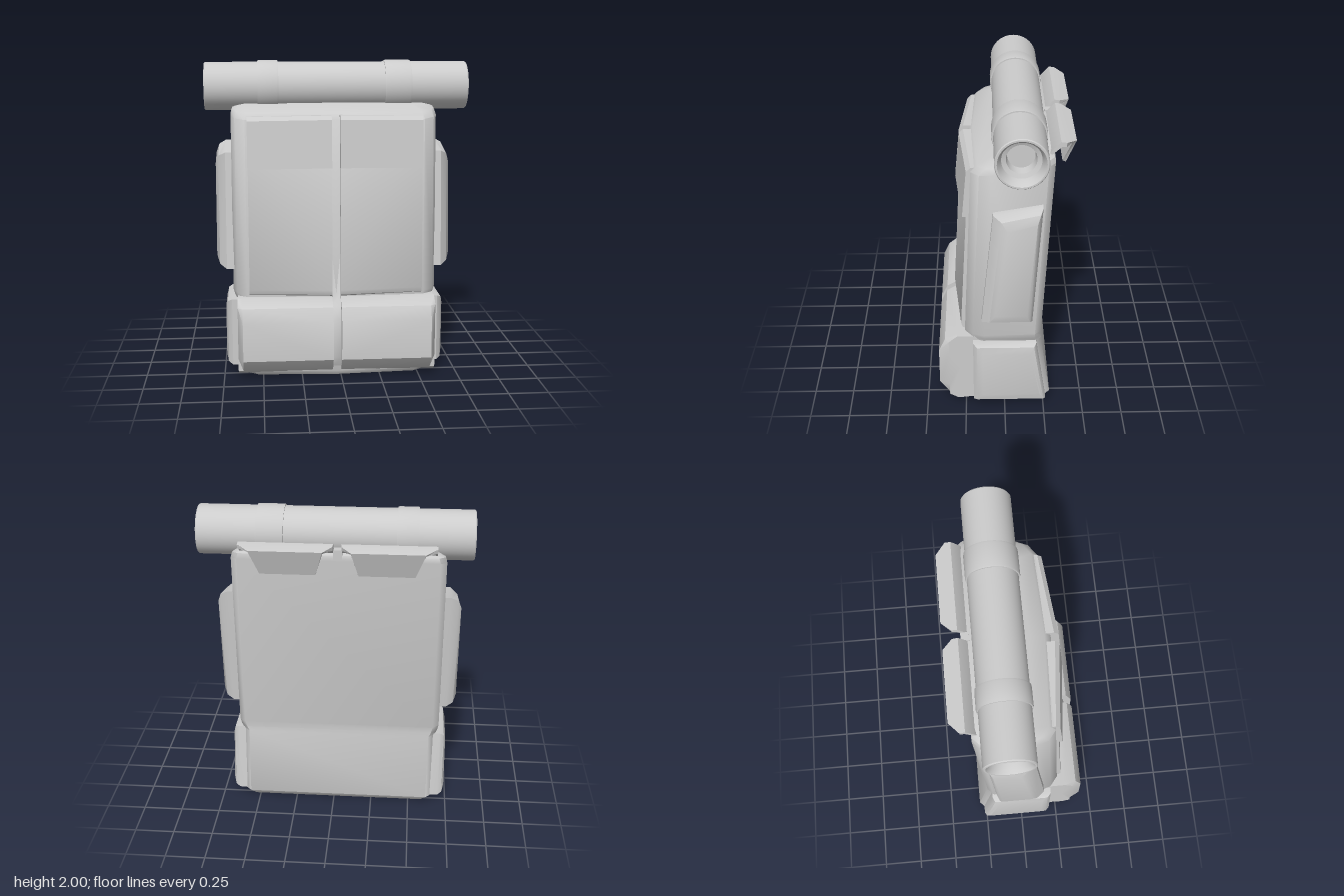
import * as THREE from 'three';
import { toCreasedNormals } from 'three/addons/utils/BufferGeometryUtils.js';

const material = new THREE.MeshStandardMaterial({ color: 0xcccccc });

// Closed skin over a list of equal-length rings of [x, y, z], oriented outward.
function loft(rings, crease = 0.6) {
  const n = rings[0].length;
  const pts = rings.flat();
  const faces = [];
  for (let r = 0; r < rings.length - 1; r++) {
    for (let i = 0; i < n; i++) {
      const a = r * n + i, b = r * n + (i + 1) % n;
      faces.push([a, b, b + n], [a, b + n, a + n]);
    }
  }
  // End caps fan out from the ring centres
  [0, rings.length - 1].forEach((r) => {
    const mid = [0, 1, 2].map((k) => rings[r].reduce((s, p) => s + p[k], 0) / n);
    const c = pts.push(mid) - 1;
    for (let i = 0; i < n; i++) {
      const a = r * n + i, b = r * n + (i + 1) % n;
      faces.push(r === 0 ? [c, b, a] : [c, a, b]);
    }
  });
  // A negative enclosed volume means the skin is inside out
  const v = pts.map((p) => new THREE.Vector3(...p));
  const volume = faces.reduce((s, [a, b, c]) => s + v[a].dot(v[b].clone().cross(v[c])), 0);
  if (volume < 0) faces.forEach((f) => f.reverse());
  const geo = new THREE.BufferGeometry();
  geo.setAttribute('position', new THREE.Float32BufferAttribute(pts.flat(), 3));
  geo.setIndex(faces.flat());
  return toCreasedNormals(geo, crease);
}

function add(parent, name, geometry) {
  const mesh = new THREE.Mesh(geometry, material);
  mesh.name = name;
  parent.add(mesh);
  return mesh;
}

// Horizontal slice of the sack; the front may sit lower than the back
function sackRing([yBack, yFront, w, zb, zf]) {
  const half = [[w - 0.04, zb], [w, zb + 0.04], [w, zf - 0.12], [w - 0.025, zf - 0.05], [w - 0.09, zf]];
  const plan = [...half, [0, zf + 0.03], ...half.map(([x, z]) => [-x, z]).reverse()];
  return plan.map(([x, z]) => [x, yBack + (yFront - yBack) * THREE.MathUtils.clamp((z - zb) / (zf - zb), 0, 1), z]);
}

// Revolved shape lying along x; profile is [radius, x]
function turned(profile) {
  const geo = new THREE.LatheGeometry(profile.map(([r, x]) => new THREE.Vector2(r, x)), 40);
  return toCreasedNormals(geo.rotateZ(-Math.PI / 2), 0.6);
}

export function createModel() {
  const model = new THREE.Group();
  model.name = 'backpack';
  const pack = new THREE.Group();
  pack.name = 'pack';
  pack.position.x = -0.027;
  model.add(pack);

  // Main sack: [back y, front y, half width, back z, front z]
  add(pack, 'mainSack', loft([
    [0, 0, 0.595, -0.27, 0.29],
    [0.035, 0.03, 0.63, -0.295, 0.31],
    [0.47, 0.47, 0.635, -0.232, 0.26],
    [0.50, 0.50, 0.65, -0.23, 0.25],
    [0.54, 0.53, 0.66, -0.23, 0.25],
    [1.72, 1.64, 0.66, -0.295, 0.20],
    [1.755, 1.68, 0.65, -0.293, 0.16],
    [1.785, 1.72, 0.60, -0.27, 0.07],
  ].map(sackRing), 0.8));

  // Webbing in the groove between the pockets
  const groove = [[0.15, 0.03], [0.33, 0.05], [0.365, 0.13], [0.365, 0.38], [0.33, 0.46], [0.28, 0.53], [0.225, 1.62], [0.15, 1.68]];
  add(pack, 'centreStrap', loft([-0.027, 0.027].map((x) => groove.map(([z, y]) => [x, y, z]))));

  const lowerProfile = [[0.15, 0.035], [0.30, 0.02], [0.36, 0.05], [0.42, 0.13], [0.42, 0.38], [0.38, 0.465], [0.30, 0.51], [0.15, 0.505]];
  const upperProfile = [[0.15, 0.51], [0.27, 0.51], [0.315, 0.53], [0.325, 0.56], [0.266, 1.62], [0.24, 1.66], [0.15, 1.68]];
  const flapProfile = [[0.15, 1.345], [0.305, 1.345], [0.277, 1.645], [0.25, 1.67], [0.15, 1.67]];
  const sidePocket = [[0.145, 0.67], [-0.17, 0.67], [-0.225, 1.47], [0.07, 1.42]];
  const lowerSidePocket = [[0.2, 0.04], [-0.265, 0.04], [-0.2, 0.48], [0.2, 0.48]];
  // Shoulder flap stations: outer z, y, inner z, y, near x, far x
  const shoulder = [
    [-0.27, 1.785, -0.25, 1.74, 0.025, 0.6],
    [-0.325, 1.842, -0.33, 1.812, 0.025, 0.6],
    [-0.36, 1.837, -0.355, 1.81, 0.027, 0.6],
    [-0.42, 1.82, -0.393, 1.803, 0.085, 0.53],
    [-0.365, 1.655, -0.345, 1.662, 0.13, 0.47],
  ];

  for (const s of [1, -1]) {
    const side = s > 0 ? 'left' : 'right';

    // Bulging bottom pocket with a bevelled outer end
    add(pack, side + 'LowerPocket', loft([[0.027, 9], [0.6, 9], [0.632, 0.355]].map(([x, zMax]) =>
      lowerProfile.map(([z, y]) => [s * x, y, Math.min(z, zMax)]))));

    // Tall front pocket and its lid, both sloping back towards the sides
    add(pack, side + 'FrontPocket', loft([[0.027, 0], [0.555, 0.05]].map(([x, back]) =>
      upperProfile.map(([z, y]) => [s * x, y, z - back]))));
    add(pack, side + 'FrontPocketLid', loft([[0.027, 0], [0.557, 0.05]].map(([x, back]) =>
      flapProfile.map(([z, y]) => [s * x, y - back * 0.2, z - back]))));

    // Side pockets: outline, then a shoulder, then an inset outer face
    const puff = (outline, steps) => {
      const cz = outline.reduce((t, p) => t + p[0], 0) / 4;
      const cy = outline.reduce((t, p) => t + p[1], 0) / 4;
      return loft(steps.map(([x, front, back, dy]) => outline.map(([z, y]) => [
        s * x, y - Math.sign(y - cy) * dy, z - (z > cz ? front : -back)])), 0.7);
    };
    add(pack, side + 'SidePocket', puff(sidePocket,
      [[0.6, 0, 0, 0], [0.70, 0, 0, 0], [0.745, 0.05, 0.015, 0.025], [0.764, 0.085, 0.035, 0.08]]));
    add(pack, side + 'LowerSidePocket', puff(lowerSidePocket,
      [[0.58, 0, 0, 0], [0.67, 0, 0, 0], [0.698, 0.025, 0.015, 0.015], [0.71, 0.06, 0.04, 0.06]]));

    // Folded flap hanging behind the top edge
    add(pack, side + 'ShoulderFlap', loft(shoulder.map(([z, y, zi, yi, near, far]) =>
      [[s * near, y, z], [s * far, y, z], [s * far, yi, zi], [s * near, yi, zi]])));
  }

  // Small carrying loop between the shoulder flaps
  const handle = add(pack, 'handle', new THREE.BoxGeometry(0.054, 0.06, 0.05));
  handle.position.set(0, 1.765, -0.285);

  // Bedroll with stepped hollow ends
  const end = [[0, 0.72], [0.08, 0.72], [0.088, 0.78], [0.115, 0.79], [0.125, 0.83], [0.14, 0.852], [0.15, 0.852], [0.155, 0.845]];
  const bedroll = new THREE.Group();
  bedroll.name = 'bedroll';
  bedroll.position.set(-0.003, 1.835, -0.09);
  model.add(bedroll);
  const rollProfile = [...end.map(([r, x]) => [r, -x]), ...end.slice().reverse()];
  add(bedroll, 'roll', turned(rollProfile));
  for (const [name, a, b] of [['rightRollStrap', -0.51, -0.377], ['leftRollStrap', 0.313, 0.483]]) {
    add(bedroll, name, turned([[0.15, a], [0.163, a], [0.165, a + 0.01], [0.165, b - 0.01], [0.163, b], [0.15, b]]));
  }
  return model;
}
